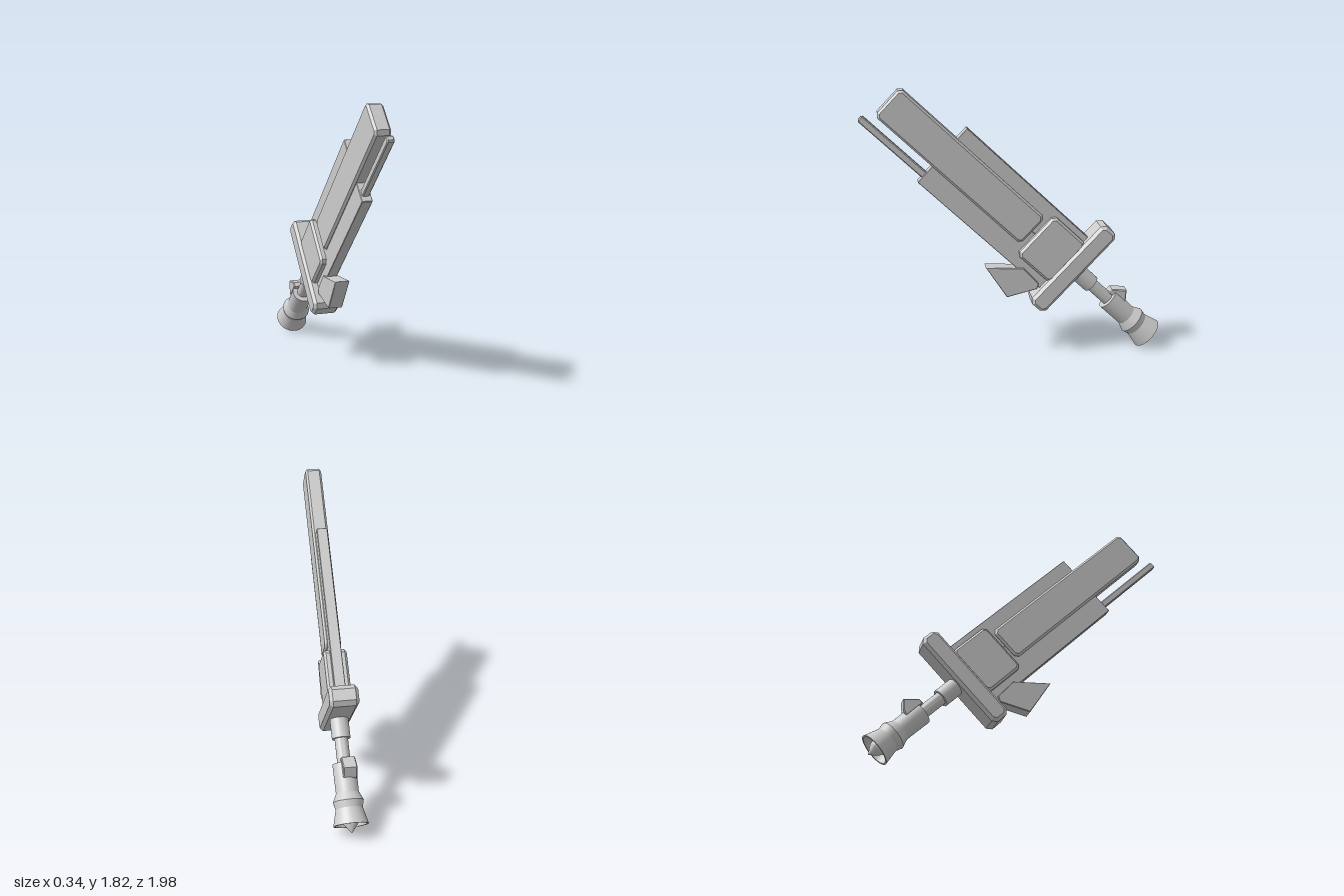
import * as THREE from 'three';
import { toCreasedNormals } from 'three/addons/utils/BufferGeometryUtils.js';

// Local frame: y runs along the blade, z across its width, x through its thickness.
const grey = new THREE.MeshStandardMaterial({ color: 0xcccccc });
grey.name = 'plain grey';

function add(group, name, geometry) {
  const mesh = new THREE.Mesh(geometry, grey);
  mesh.name = name;
  group.add(mesh);
  return mesh;
}

// Solid from a (width, length) outline, centred through the thickness, with chamfered edges.
function slab(points, thickness, bevel) {
  const shape = new THREE.Shape(points.map(([w, l]) => new THREE.Vector2(w, l)));
  const geometry = new THREE.ExtrudeGeometry(shape, {
    depth: thickness - 2 * bevel,
    bevelEnabled: bevel > 0,
    bevelThickness: bevel,
    bevelSize: bevel,
    bevelOffset: -bevel,
    bevelSegments: 1,
  });
  geometry.translate(0, 0, bevel - thickness / 2);
  return geometry.rotateY(-Math.PI / 2);
}

// Rectangle with cut corners.
function block(w0, w1, l0, l1, thickness, corner, bevel) {
  const c = corner;
  return slab([
    [w0 + c, l0], [w1 - c, l0], [w1, l0 + c], [w1, l1 - c],
    [w1 - c, l1], [w0 + c, l1], [w0, l1 - c], [w0, l0 + c],
  ], thickness, bevel);
}

export function createModel() {
  const model = new THREE.Group();
  model.name = 'sword';
  const sword = new THREE.Group();
  sword.name = 'tiltedSword';
  model.add(sword);

  // Blade: thick core over thinner plates, with a slim rod ahead of the front plate
  add(sword, 'mainBlade', block(-0.125, 0.113, 0.38, 1.655, 0.106, 0.025, 0.014));
  add(sword, 'backPlate', block(-0.218, 0, 0.05, 1.168, 0.07, 0.004, 0.003));
  add(sword, 'frontPlate', block(0, 0.252, 0.05, 1.165, 0.07, 0.004, 0.003));
  add(sword, 'frontRod', block(0.167, 0.213, 1.1, 1.71, 0.046, 0.01, 0.006));

  // Base of the blade and the crossguard
  add(sword, 'bladeCollar', block(-0.178, 0.178, 0.05, 0.35, 0.15, 0.025, 0.015));
  add(sword, 'crossguard', block(-0.36, 0.36, -0.068, 0.066, 0.185, 0.03, 0.02));

  // Pointed hook in front of the guard
  add(sword, 'frontHook', slab(
    [[0.266, 0.076], [0.441, 0.189], [0.383, 0.438], [0.22, 0.245], [0.231, 0.094]], 0.098, 0.004));

  // Turned handle: pointed end, hollow flared pommel, sleeve, neck and ferrule
  const profile = [
    [0, -0.8], [0.045, -0.745], [0.06, -0.7], [0.09, -0.7], [0.1, -0.75],
    [0.112, -0.75], [0.086, -0.645], [0.098, -0.6], [0.073, -0.545],
    [0.075, -0.36], [0.043, -0.36], [0.043, -0.197], [0.06, -0.197], [0.06, -0.06],
  ].map(([r, l]) => new THREE.Vector2(r, l));
  const handle = add(sword, 'handle', toCreasedNormals(new THREE.LatheGeometry(profile, 32), 0.4));
  handle.position.z = 0.005;

  // Small tab on the back of the handle
  const tab = add(sword, 'handleTab', slab(
    [[-0.03, -0.33], [-0.03, -0.47], [-0.068, -0.46], [-0.128, -0.41], [-0.064, -0.33]], 0.09, 0.006));
  tab.position.x = -0.02;

  // Lean the sword forward and turn it slightly
  sword.rotation.set(0.806, 0.1, 0, 'YXZ');
  sword.position.set(-0.009, 0.607, -0.388);
  return model;
}
